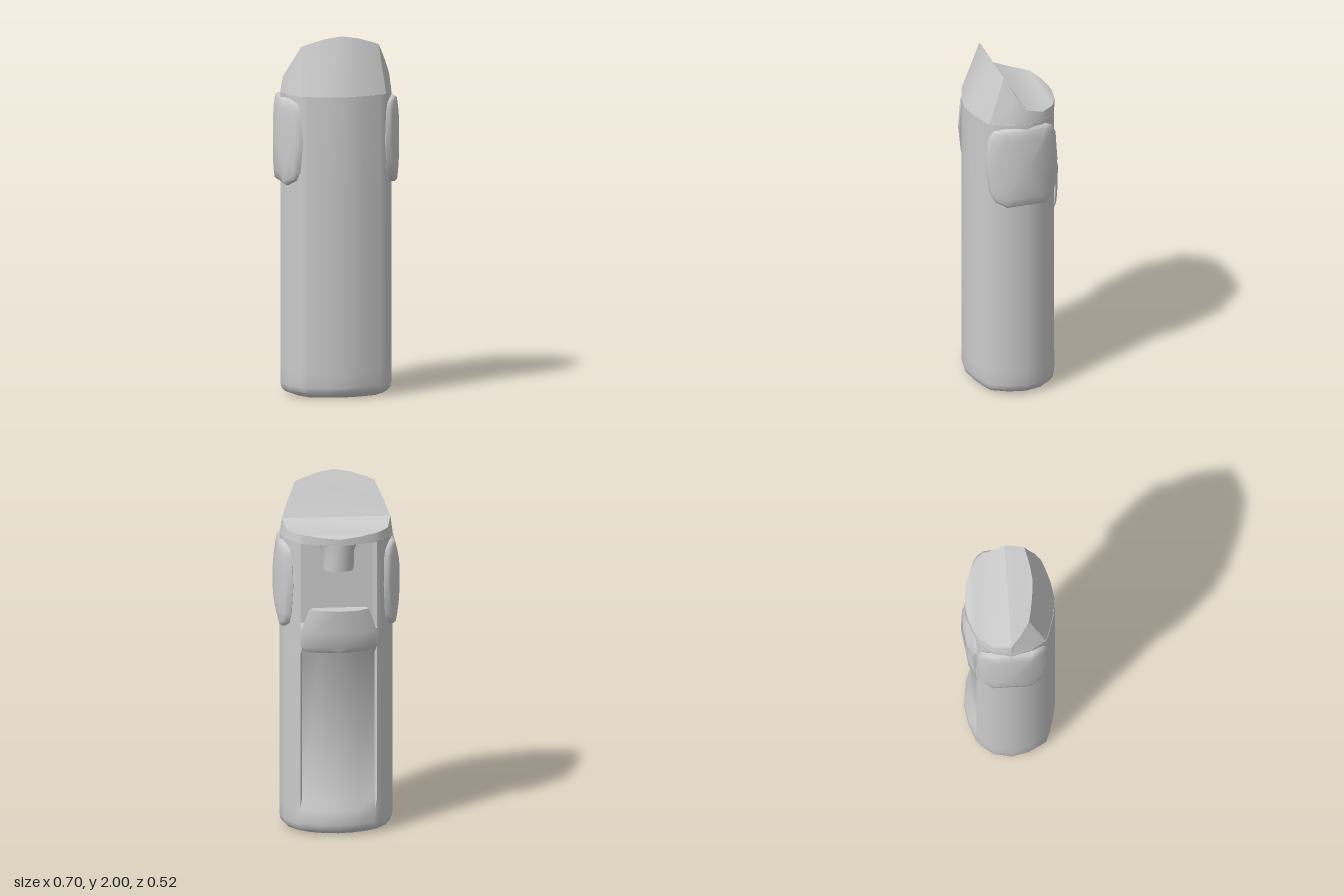
import * as THREE from 'three';
import { toCreasedNormals } from 'three/addons/utils/BufferGeometryUtils.js';

const material = new THREE.MeshStandardMaterial({ color: 0xcccccc, side: THREE.DoubleSide });

// Right half of the barrel outline as [x, z], from front to back
const OUTLINE = [
  [0, 0.26], [0.1, 0.243], [0.2, 0.212], [0.24, 0.195], [0.29, 0.1], [0.312, 0],
  [0.29, -0.1], [0.24, -0.165], [0.212, -0.188], [0.2, -0.193], [0.11, -0.225], [0, -0.242],
];

// Mirrors a half outline into a closed ring; heightAt gives y for each point
function ring(half, heightAt) {
  const y = typeof heightAt === 'function' ? heightAt : () => heightAt;
  const right = half.map(([x, z]) => [x, y(z), z]);
  const left = right.slice(1, -1).reverse().map(([x, h, z]) => [-x, h, z]);
  return [...right, ...left];
}

// Skins a stack of rings; ends are closed by strips between mirrored points
function loft(name, rings, crease = 0.7, closed = true) {
  const m = rings[0].length;
  const index = [];
  for (let j = 0; j < rings.length - 1; j++) {
    for (let i = 0; i < m; i++) {
      const a = j * m + i, b = j * m + (i + 1) % m;
      index.push(a, b, b + m, a, b + m, a + m);
    }
  }
  if (closed) {
    const top = (rings.length - 1) * m;
    for (let i = 0; i < m / 2; i++) {
      const a = i, b = i + 1, c = m - i - 1, d = (m - i) % m;
      if (b !== c) index.push(top + a, top + b, top + c, c, b, a);
      if (a !== d) index.push(top + a, top + c, top + d, d, c, a);
    }
  }
  let geometry = new THREE.BufferGeometry();
  geometry.setAttribute('position', new THREE.Float32BufferAttribute(rings.flat(2), 3));
  geometry.setIndex(index);
  geometry = toCreasedNormals(geometry, crease);
  const mesh = new THREE.Mesh(geometry, material);
  mesh.name = name;
  return mesh;
}

// Barrel: rounded foot, sunken back panel, open bay below the cap
function makeBody() {
  const scaled = (s) => OUTLINE.map(([x, z]) => [x * s, z * s]);
  const back = (move) => OUTLINE.map(([x, z]) => [x, z < 0 && x < 0.205 ? move(z) : z]);
  const panel = back((z) => z + 0.037);
  const bay = back(() => -0.06);
  return loft('body', [
    ring(scaled(0.78), 0), ring(scaled(0.92), 0.015), ring(scaled(0.98), 0.035),
    ring(OUTLINE, 0.06), ring(OUTLINE, 0.14), ring(panel, 0.2), ring(panel, 1.03),
    ring(OUTLINE, 1.08), ring(OUTLINE, 1.18), ring(bay, 1.18), ring(bay, 1.68),
  ]);
}

// Cap: leaning front wall up to a crest, then a hollow slope to a flat rear
const ROOF = [[-0.25, 1.705], [-0.21, 1.725], [-0.1, 1.73], [-0.03, 1.742], [0, 1.765],
  [0.05, 1.845], [0.1, 1.94], [0.136, 2]];
function roofHeight(z) {
  for (let i = 1; i < ROOF.length; i++) {
    const [z0, y0] = ROOF[i - 1], [z1, y1] = ROOF[i];
    if (z <= z1) return y0 + (y1 - y0) * (z - z0) / (z1 - z0);
  }
  return 2;
}
function makeCap() {
  const crest = OUTLINE.map(([x, z]) => [x * (z > 0 ? 0.91 : 0.96), z > 0 ? z * 0.523 : z]);
  return loft('cap', [ring(OUTLINE, 1.675), ring(crest, roofHeight)], 0.6);
}

// Nozzle: round spout flaring into the underside of the cap
function makeNozzle() {
  const circle = (r, cz) => Array.from({ length: 9 }, (_, i) => {
    const a = Math.PI * i / 8;
    return [r * Math.sin(a), cz + r * Math.cos(a)];
  });
  return loft('nozzle', [
    ring(circle(0.085, -0.155), 1.52), ring(circle(0.088, -0.153), 1.62),
    ring(circle(0.105, -0.137), 1.66), ring(circle(0.13, -0.112), 1.69),
  ]);
}

// Lip: tapering guard below the nozzle with a shallow dished top
function makeLip() {
  const section = (w, inner, outer) => [
    [0, inner], [w * 0.9, inner], [w, outer + 0.05], [w * 0.65, outer + 0.014], [0, outer],
  ];
  return loft('lip', [
    ring(section(0.205, -0.13, -0.22), 1.05), ring(section(0.21, -0.13, -0.242), 1.085),
    ring(section(0.21, -0.15, -0.248), 1.17), ring(section(0.165, -0.18, -0.26), 1.3),
    ring(section(0.14, -0.19, -0.248), 1.288),
  ]);
}

// Side pads: curved plates with a softened rim, outline as [z, y]
const PAD = [[0.12, 1.66], [0.175, 1.64], [0.2, 1.59], [0.215, 1.42], [0.195, 1.26], [0.17, 1.21],
  [0.11, 1.18], [-0.11, 1.18], [-0.155, 1.21], [-0.172, 1.26], [-0.19, 1.42],
  [-0.178, 1.59], [-0.16, 1.635], [-0.12, 1.66]];
function makePad(name, side) {
  const layer = (scale, drop) => {
    const points = PAD.map(([z0, y0]) => {
      const z = 0.01 + (z0 - 0.01) * scale, y = 1.42 + (y0 - 1.42) * scale;
      const x = 0.35 - 1.9 * z * z - 0.15 * (y - 1.42) ** 2 - drop;
      return [side * x, y, z];
    });
    return side > 0 ? points : points.reverse();
  };
  return loft(name, [
    layer(0, 0.05), layer(0.5, 0.05), layer(0.93, 0.042), layer(1, 0.03), layer(1, 0.012),
    layer(0.95, 0), layer(0.75, 0), layer(0.5, 0), layer(0.25, 0), layer(0, 0),
  ], 0.9, false);
}

export function createModel() {
  const group = new THREE.Group();
  group.name = 'dispenser';
  group.add(makeBody(), makeCap(), makeNozzle(), makeLip(),
    makePad('leftPad', 1), makePad('rightPad', -1));
  return group;
}
